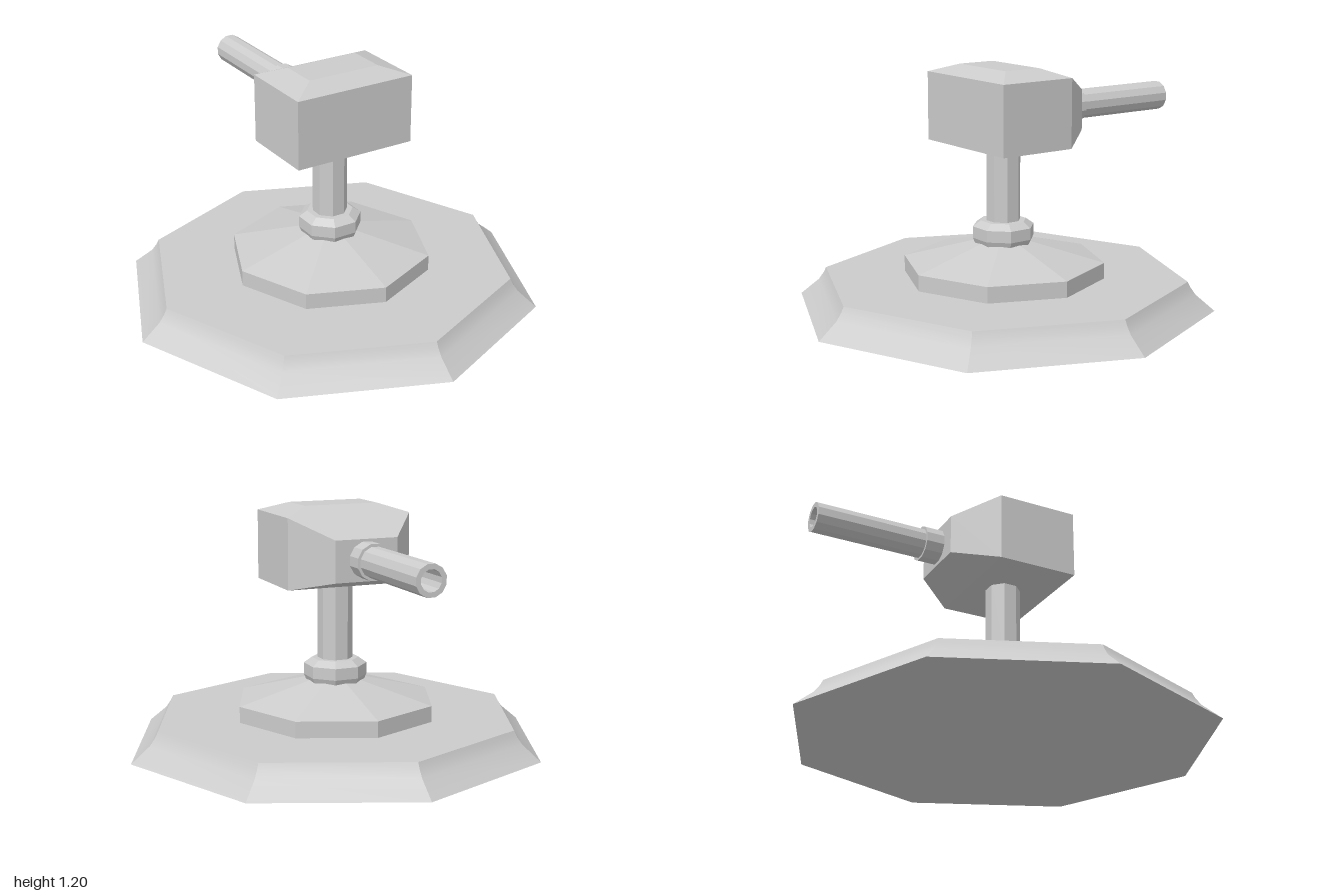
import * as THREE from 'three';
import { toCreasedNormals } from 'three/addons/utils/BufferGeometryUtils.js';
import { ConvexGeometry } from 'three/addons/geometries/ConvexGeometry.js';

const flat = new THREE.MeshStandardMaterial({ color: 0xcccccc, flatShading: true });
const smooth = new THREE.MeshStandardMaterial({ color: 0xcccccc });

// Faceted turned part; profile is [radius, height] from bottom to top
function turned(profile, sides, start = 0) {
  const points = profile.map(([r, y]) => new THREE.Vector2(r, y));
  return new THREE.LatheGeometry(points, sides, start);
}

export function createModel() {
  const model = new THREE.Group();
  const add = (name, geometry, material = flat) => {
    const mesh = new THREE.Mesh(geometry, material);
    mesh.name = name;
    model.add(mesh);
    return mesh;
  };

  // Wide octagonal foot with a shallow pointed underside and softened rim
  const foot = turned([[0, 0], [0.8, 0.056], [1, 0.06], [0.91, 0.135], [0.885, 0.17], [0.872, 0.196], [0, 0.196]], 8);
  add('foot', toCreasedNormals(foot, 0.44), smooth);

  // Raised plate with a sloping top
  add('plate', turned([[0.48, 0.19], [0.48, 0.272], [0.13, 0.365], [0, 0.365]], 8));

  // Collar and post, with flats facing forward
  const eighth = Math.PI / 8;
  add('collar', turned([[0.135, 0.355], [0.148, 0.385], [0.148, 0.44], [0.11, 0.467], [0, 0.467]], 8, eighth));
  add('post', turned([[0.082, 0.45], [0.082, 0.84]], 8, eighth));

  // Head: box tapering towards the back, with a hipped roof
  const corners = [];
  for (const s of [-1, 1]) {
    for (const [x, y, z] of [
      [0.3, 0.83, 0.22], [0.3, 0.83, -0.165], [0.15, 0.88, -0.35],
      [0.3, 1.155, 0.22], [0.3, 1.155, -0.165], [0.15, 1.07, -0.35],
      [0.18, 1.195, 0.12], [0.18, 1.195, -0.07],
    ]) corners.push(new THREE.Vector3(s * x, y, z));
  }
  add('head', new ConvexGeometry(corners));

  // Barrel sleeve and hollow barrel, pointing backwards
  const backwards = (profile) => turned(profile, 12, Math.PI / 12).rotateX(-Math.PI / 2).translate(0, 0.977, 0);
  add('barrelSleeve', backwards([[0.084, 0.33], [0.084, 0.437], [0.06, 0.437]]));
  add('barrel', backwards([[0.071, 0.4], [0.071, 0.967], [0.048, 0.967], [0.048, 0.5], [0, 0.5]]));

  return model;
}
